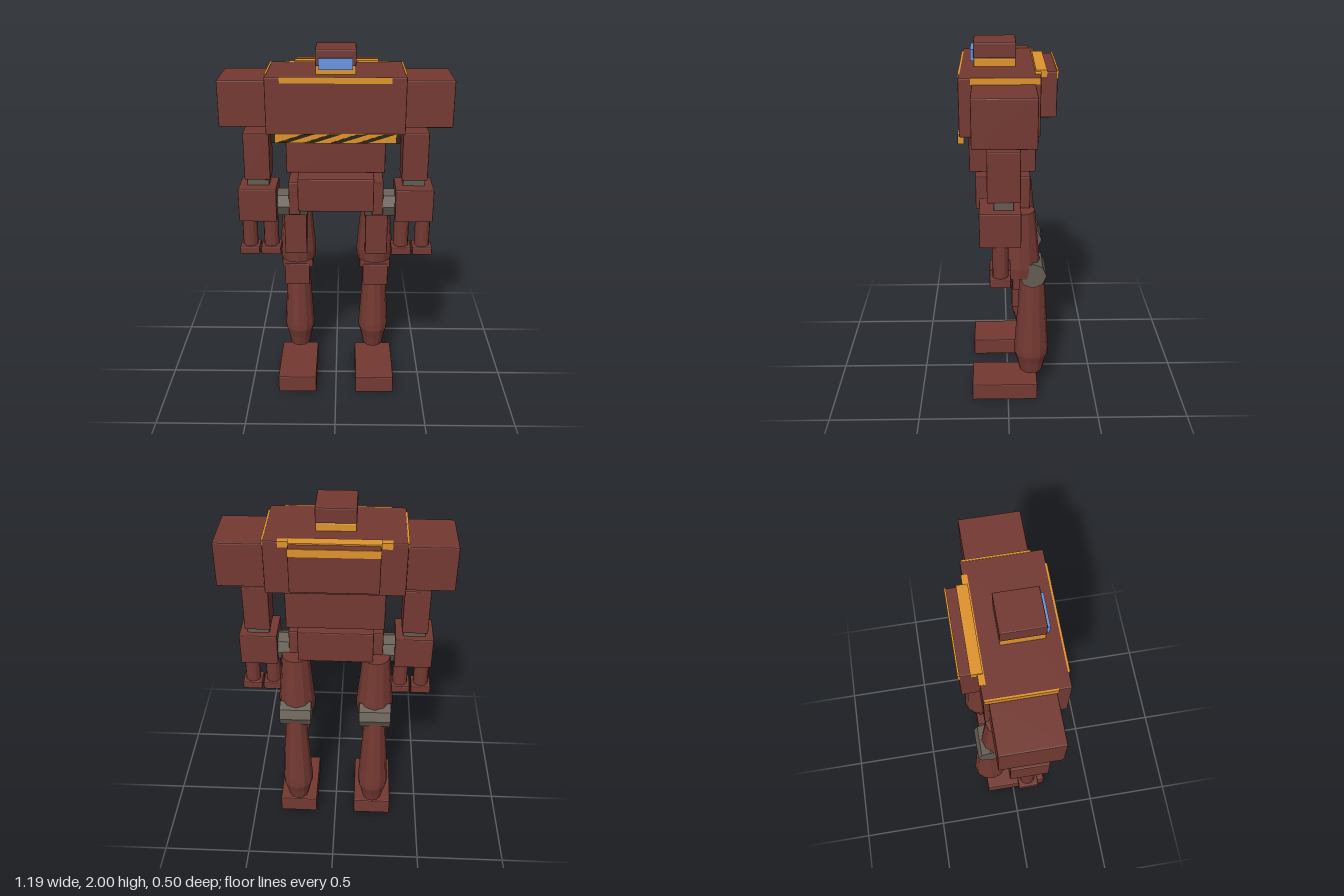
import * as THREE from 'three';
import { RoundedBoxGeometry } from 'three/addons/geometries/RoundedBoxGeometry.js';

const mat = (name, color, flatShading = false) => {
  const m = new THREE.MeshStandardMaterial({ color, flatShading });
  m.name = name;
  return m;
};

export function createModel() {
  const root = new THREE.Group();
  root.name = 'walkerRobot';
  const red = mat('armourRed', 0x743932, true);
  const orange = mat('trimOrange', 0xe0942c);
  const grey = mat('jointGrey', 0x635c52, true);
  const blue = mat('visorBlue', 0x6896e2);
  const dark = mat('hazardDark', 0x2c2412);

  const add = (parent, name, geo, material) => {
    const m = new THREE.Mesh(geo, material);
    m.name = name;
    parent.add(m);
    return m;
  };
  // Box from its extents, with slightly softened edges where it is thick enough
  const box = (parent, name, material, x0, x1, y0, y1, z0, z1) => {
    const w = x1 - x0, h = y1 - y0, d = z1 - z0;
    const geo = Math.min(w, h, d) > 0.035
      ? new RoundedBoxGeometry(w, h, d, 1, 0.006)
      : new THREE.BoxGeometry(w, h, d);
    const m = add(parent, name, geo, material);
    m.position.set((x0 + x1) / 2, (y0 + y1) / 2, (z0 + z1) / 2);
    return m;
  };
  // Twelve-sided limb; profile holds [half width, height] from the bottom up
  const limb = (parent, name, material, profile, x, z, depth = 1) => {
    const pts = profile.map(([r, y]) => new THREE.Vector2(r, y));
    pts.unshift(new THREE.Vector2(0, profile[0][1]));
    pts.push(new THREE.Vector2(0, profile[profile.length - 1][1]));
    const geo = new THREE.LatheGeometry(pts, 12);
    geo.scale(1, 1, depth);
    add(parent, name, geo, material).position.set(x, 0, z);
  };
  // Eight-sided joint drum lying along x
  const drum = (parent, name, r, x0, x1, y, z) => {
    const geo = new THREE.CylinderGeometry(r, r, x1 - x0, 8);
    geo.rotateZ(Math.PI / 2);
    add(parent, name, geo, grey).position.set((x0 + x1) / 2, y, z);
  };

  // Head
  const head = new THREE.Group();
  head.name = 'head';
  root.add(head);
  box(head, 'neck', orange, -0.1, 0.1, 1.87, 1.92, -0.04, 0.17);
  box(head, 'headBlock', red, -0.102, 0.102, 1.92, 2.0, -0.042, 0.172);
  box(head, 'visor', blue, -0.085, 0.085, 1.905, 1.96, 0.16, 0.188);

  // Torso
  const torso = new THREE.Group();
  torso.name = 'torso';
  root.add(torso);
  box(torso, 'chest', red, -0.35, 0.35, 1.59, 1.88, -0.155, 0.24);
  box(torso, 'frontTrim', orange, -0.275, 0.275, 1.85, 1.88, 0.234, 0.244);
  box(torso, 'backTrim', orange, -0.275, 0.275, 1.85, 1.882, -0.16, -0.13);
  for (const s of [-1, 1]) {
    box(torso, 'sideTrim', orange, s * 0.349 - 0.005, s * 0.349 + 0.005, 1.85, 1.882, -0.15, 0.18);
  }
  box(torso, 'backpack', red, -0.22, 0.22, 1.65, 1.882, -0.242, -0.14);
  box(torso, 'backpackTopTrim', orange, -0.223, 0.223, 1.856, 1.889, -0.19, -0.135);
  box(torso, 'backpackRearTrim', orange, -0.22, 0.22, 1.847, 1.887, -0.246, -0.237);
  box(torso, 'abdomen', red, -0.255, 0.255, 1.375, 1.6, -0.14, 0.198);
  box(torso, 'pelvis', red, -0.202, 0.202, 1.145, 1.33, -0.117, 0.17);

  // Hazard bar below the chest, with shallow slanted stripes
  box(torso, 'hazardBar', orange, -0.325, 0.325, 1.55, 1.598, 0.217, 0.247);
  for (const s of [-1, 1]) {
    box(torso, 'hazardEnd', dark, s * 0.314 - 0.011, s * 0.314 + 0.011, 1.55, 1.598, 0.246, 0.249);
  }
  for (let i = 0; i < 4; i++) {
    const stripe = new THREE.Shape();
    const x = -0.3 + i * 0.135;
    stripe.moveTo(x, 1.551);
    stripe.lineTo(x + 0.055, 1.551);
    stripe.lineTo(x + 0.195, 1.597);
    stripe.lineTo(x + 0.14, 1.597);
    const geo = new THREE.ExtrudeGeometry(stripe, { depth: 0.002, bevelEnabled: false });
    add(torso, 'hazardStripe', geo, dark).position.z = 0.2465;
  }

  for (const side of [1, -1]) {
    const label = side > 0 ? 'left' : 'right';
    // Every limb part is symmetric, so each side is placed by its mirrored x range
    const sx = (a, b) => (side > 0 ? [a, b] : [-b, -a]);

    // Arm
    const arm = new THREE.Group();
    arm.name = label + 'Arm';
    root.add(arm);
    box(arm, 'shoulder', red, ...sx(0.34, 0.595), 1.61, 1.85, -0.13, 0.175);
    box(arm, 'upperArm', red, ...sx(0.35, 0.488), 1.3, 1.56, -0.057, 0.107);
    box(arm, 'elbow', grey, ...sx(0.36, 0.48), 1.25, 1.305, -0.025, 0.075);
    box(arm, 'forearm', red, ...sx(0.318, 0.523), 1.075, 1.26, -0.06, 0.147);
    for (const x of [0.362, 0.48]) {
      limb(arm, 'finger', red, [[0.042, 0.89], [0.042, 1.08]], side * x, 0.043);
      box(arm, 'fingertip', red, ...sx(x - 0.055, x + 0.055), 0.855, 0.9, -0.01, 0.098);
    }

    // Leg
    const leg = new THREE.Group();
    leg.name = label + 'Leg';
    root.add(leg);
    box(leg, 'hipPlate', red, ...sx(0.195, 0.255), 1.1, 1.29, -0.05, 0.11);
    drum(leg, 'hipJoint', 0.08, ...sx(0.155, 0.32), 1.147, 0.03);
    limb(leg, 'thigh', red, [[0.1, 0.78], [0.103, 0.84], [0.075, 1.15]], side * 0.22, -0.06, 1.1);
    box(leg, 'thighPlate', red, ...sx(0.162, 0.285), 0.85, 1.09, -0.02, 0.075);
    drum(leg, 'kneeJoint', 0.073, ...sx(0.135, 0.31), 0.797, -0.133);
    box(leg, 'kneePad', red, ...sx(0.155, 0.3), 0.6, 0.735, -0.06, -0.02);
    // Upper end of the pad, covering the knee from the front
    box(leg, 'kneeCover', red, ...sx(0.135, 0.312), 0.715, 0.79, -0.064, -0.024);
    limb(leg, 'shin', red,
      [[0.06, 0.145], [0.073, 0.21], [0.088, 0.265], [0.088, 0.3], [0.058, 0.8]],
      side * 0.225, -0.133, 1.1);
    box(leg, 'foot', red, ...sx(0.115, 0.337), 0, 0.105, -0.167, 0.205);
  }

  return root;
}
